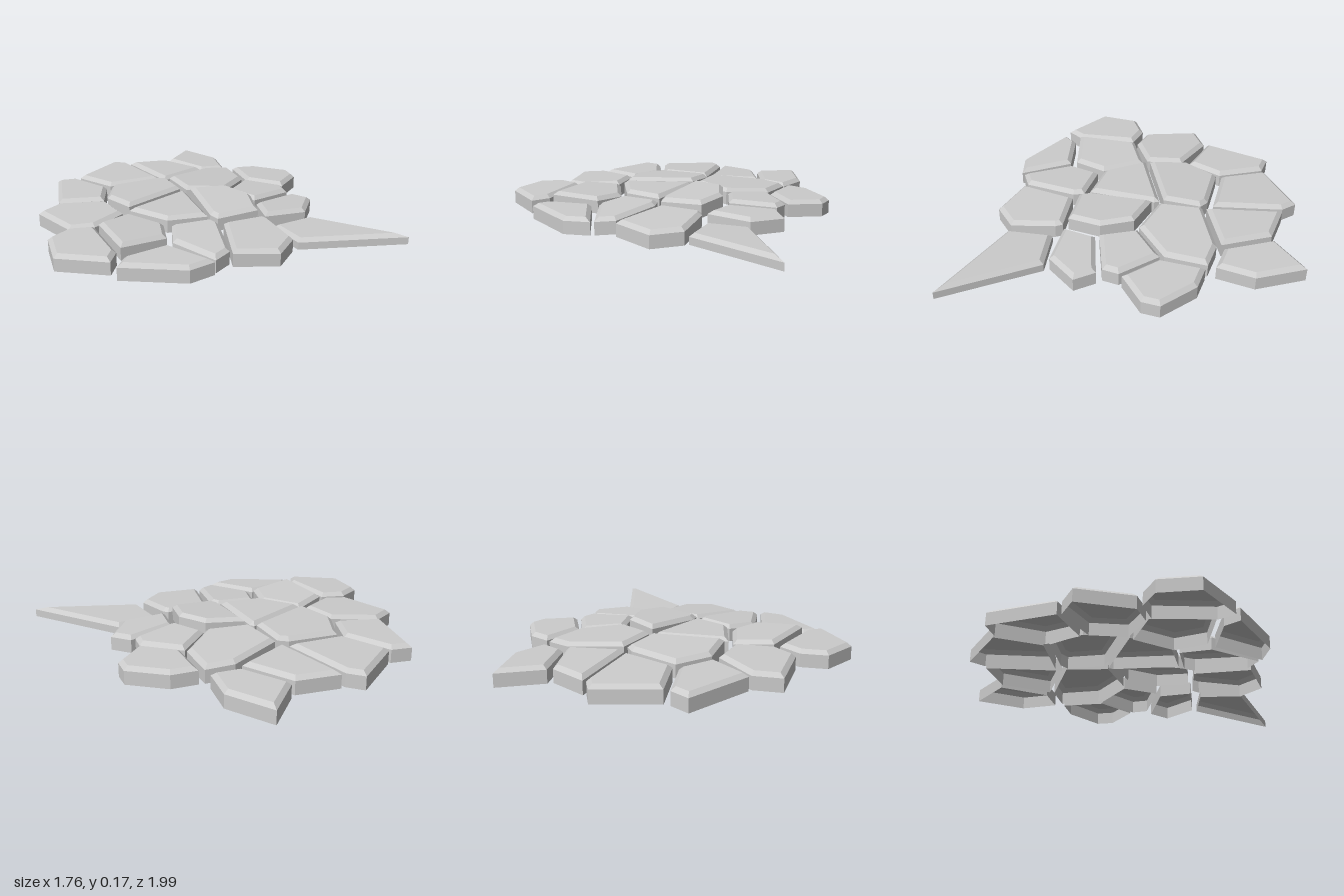
import * as THREE from 'three';

const BEVEL = 0.022;

// Moves every edge of a clockwise outline inwards by d, with mitred corners.
function inset(points, d) {
  const n = points.length;
  return points.map((p, i) => {
    const a = p.clone().sub(points[(i + n - 1) % n]).normalize();
    const b = points[(i + 1) % n].clone().sub(p).normalize();
    const na = new THREE.Vector2(-a.y, a.x);
    const nb = new THREE.Vector2(-b.y, b.x);
    return na.clone().add(nb).multiplyScalar(d / (1 + na.dot(nb))).add(p);
  });
}

// Bevelled slab, open underneath; its outline is in (x, z), tilted about its centre.
function slabGeometry(outline, y, sx, sz, wall) {
  const n = outline.length;
  const centre = outline.reduce((s, p) => s.add(p), new THREE.Vector2()).divideScalar(n);
  const lift = (pts, h) => pts.map((p) => new THREE.Vector3(
    p.x, Math.max(0, y + h + sx * (p.x - centre.x) + sz * (p.y - centre.y)), p.y));
  const rings = [
    lift(outline, 0),
    lift(outline, wall),
    lift(inset(outline, BEVEL), wall + 0.02),
  ];
  const verts = [];
  // wall and bevel
  for (let r = 0; r < 2; r++) {
    for (let i = 0; i < n; i++) {
      const j = (i + 1) % n;
      const [lo, hi] = [rings[r], rings[r + 1]];
      verts.push(lo[i], hi[j], lo[j], lo[i], hi[i], hi[j]);
    }
  }
  // top face
  for (let i = 1; i < n - 1; i++) verts.push(rings[2][0], rings[2][i + 1], rings[2][i]);
  const geometry = new THREE.BufferGeometry().setFromPoints(verts);
  geometry.computeVertexNormals();
  return geometry;
}

export function createModel() {
  const group = new THREE.Group();
  group.name = 'flagstones';
  const stone = new THREE.MeshStandardMaterial({ color: 0xcccccc, side: THREE.DoubleSide });
  stone.name = 'grey stone';

  // Outlines in hundredths, x then z; then base height and slopes along x and z
  const add = (name, coords, y, sx = 0, sz = 0, wall = 0.07) => {
    const outline = [];
    for (let i = 0; i < coords.length; i += 2) {
      outline.push(new THREE.Vector2(coords[i] / 100, coords[i + 1] / 100));
    }
    const mesh = new THREE.Mesh(slabGeometry(outline, y, sx, sz, wall), stone);
    mesh.name = name;
    group.add(mesh);
  };

  // raised middle stones
  add('centreStone', [15, -20, 30, -6, 29, 12, 17, 26, -4, 15, -3, 9], 0.07, 0.07, -0.03);
  add('centreRightStone', [-26, -29, 13, -25, 13, -22, -5, 9, -23, -4], 0.055);
  add('centreBackStone', [-4, -64, 20, -50, 23, -45, 14, -27, -24, -31, -20, -52], 0.055, 0, 0.07);
  add('centreLeftStone', [25, -45, 55, -42, 67, -33, 56, -14, 32, -8, 16, -24], 0.045, -0.07);
  add('innerRightStone', [-49, -29, -28, -28, -26, -4, -38, 9, -63, 1], 0.045, -0.06);
  add('innerLeftStone', [33, -7, 55, -12, 62, 11, 57, 18, 32, 13], 0.035, -0.05);

  // back edge
  add('backRightStone', [-15, -100, -6, -93, -6, -67, -21, -54, -39, -72], 0.025, 0, 0.03);
  add('backStone', [-3, -93, 30, -97, 33, -88, 23, -52, -3, -67], 0.03, 0, 0.04);
  add('backLeftStone', [35, -87, 53, -73, 54, -45, 24, -48], 0.03, -0.03, 0.03);
  add('backCornerStone', [80, -80, 80, -53, 68, -37, 56, -46, 56, -73], 0.015, -0.03);
  add('backSideStone', [-55, -70, -40, -70, -23, -50, -29, -31, -50, -31, -60, -40], 0.03, 0.04, 0.03);

  // side edges
  add('rightStone', [-76, -38, -62, -38, -52, -29, -65, 0, -74, 5, -88, -20], 0.035, 0.03);
  add('leftStone', [69, -31, 80, -23, 88, -2, 83, 6, 64, 10, 57, -11], 0.025, -0.03);

  // front edge
  add('frontSideStone', [-73, 8, -64, 4, -41, 12, -39, 41, -53, 37], 0.015, 0.03, -0.02);
  add('frontRightStone', [-24, 0, -6, 12, -7, 18, -26, 40, -37, 40, -37, 12], 0.03, 0.06, -0.04);
  add('frontStone', [-4, 19, 17, 29, 17, 33, 8, 55, -9, 59, -26, 42], 0.02, 0.02, -0.08);
  add('frontLeftStone', [31, 15, 57, 21, 59, 33, 41, 41, 20, 29], 0.02, -0.03, -0.02);
  add('pointedStone', [19, 35, 41, 44, 50, 99, 10, 57], 0.02, 0, 0.03, 0.04);

  return group;
}
